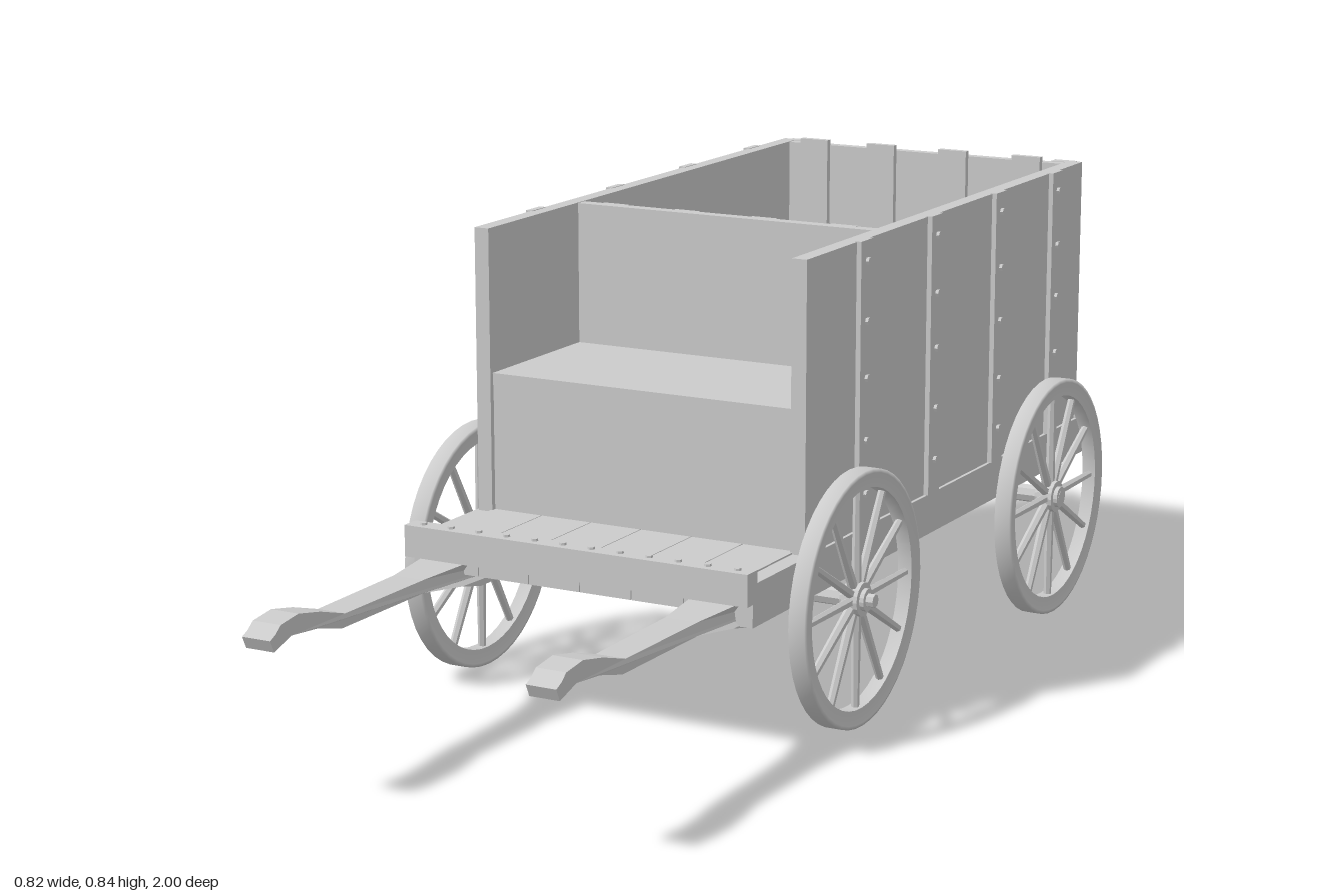
import * as THREE from 'three';

const mat = new THREE.MeshStandardMaterial({ color: 0xcccccc, flatShading: true });
const smooth = new THREE.MeshStandardMaterial({ color: 0xcccccc });

export function createModel() {
  const root = new THREE.Group();
  root.name = 'wagon';

  const add = (name, geo, parent = root, m = mat) => {
    const mesh = new THREE.Mesh(geo, m);
    mesh.name = name;
    parent.add(mesh);
    return mesh;
  };
  // Box given by its extents on each axis
  const box = (name, x0, x1, y0, y1, z0, z1, parent = root) => {
    const mesh = add(name, new THREE.BoxGeometry(Math.abs(x1 - x0), y1 - y0, z1 - z0), parent);
    mesh.position.set((x0 + x1) / 2, (y0 + y1) / 2, (z0 + z1) / 2);
    return mesh;
  };
  // Small six-sided bolt head pointing along an axis
  const bolt = (x, y, z, axis, parent = root) => {
    const mesh = add('bolt', new THREE.CylinderGeometry(0.006, 0.007, 0.01, 6), parent);
    if (axis === 'x') mesh.rotation.z = Math.PI / 2;
    if (axis === 'z') mesh.rotation.x = Math.PI / 2;
    mesh.position.set(x, y, z);
  };

  // Bed: lengthwise floor planks inside a frame
  const planks = 6, pw = 0.6 / planks;
  for (let i = 0; i < planks; i++) {
    const x = -0.3 + i * pw;
    box('floorPlank', x + 0.0008, x + pw - 0.0008, 0.265, 0.325, -0.96, 0.44);
  }
  for (const s of [-1, 1]) box('bedSideBeam', s * 0.295, s * 0.33, 0.248, 0.322, -0.985, 0.44);
  box('bedRearBeam', -0.295, 0.295, 0.25, 0.318, -0.985, -0.955);
  box('rearBar', -0.31, 0.31, 0.268, 0.298, -1.0, -0.985);
  for (let i = 0; i < 5; i++) {
    const x = -0.33 + i * 0.132;
    box('rearLedgeBoard', x + 0.002, x + 0.13, 0.316, 0.328, -0.985, -0.93);
  }
  box('frontLip', -0.333, 0.333, 0.29, 0.346, 0.43, 0.465);
  for (let i = 0; i < 12; i++) {
    const x = -0.305 + i * 0.0555;
    bolt(x, 0.345, 0.447, 'y');
  }

  // Side walls with bolted straps
  for (const s of [-1, 1]) {
    const wall = new THREE.Group();
    wall.name = s > 0 ? 'leftWall' : 'rightWall';
    root.add(wall);
    box('sidePanel', s * 0.296, s * 0.324, 0.32, 0.83, -0.94, 0.24, wall);
    for (const z of [0.03, -0.255, -0.535, -0.8]) {
      box('strap', s * 0.32, s * 0.333, 0.322, 0.831, z - 0.023, z + 0.023, wall);
      for (const y of [0.385, 0.48, 0.59, 0.69, 0.795]) bolt(s * 0.334, y, z, 'x', wall);
    }
    // Rear corner post
    box('cornerPost', s * 0.265, s * 0.31, 0.325, 0.83, -0.947, -0.925, wall);
    for (const y of [0.385, 0.48, 0.59, 0.69, 0.795]) bolt(s * 0.288, y, -0.948, 'z', wall);
  }

  // Tailgate and seat back, each with upright battens
  box('tailgate', -0.296, 0.296, 0.325, 0.829, -0.925, -0.905);
  box('seatBack', -0.296, 0.296, 0.325, 0.829, -0.09, -0.067);
  for (const x of [-0.235, -0.088, 0.068, 0.225]) {
    box('tailgateBatten', x - 0.03, x + 0.03, 0.325, 0.84, -0.906, -0.893);
    box('seatBackBatten', x - 0.025, x + 0.025, 0.325, 0.828, -0.101, -0.089);
  }

  // Driver's bench
  box('benchSeat', -0.296, 0.296, 0.55, 0.572, -0.07, 0.232);
  box('benchFront', -0.296, 0.296, 0.325, 0.55, 0.21, 0.23);

  // Shafts: side profile extruded across, narrowed toward the front
  const top = [[0.1, 0.268], [0.46, 0.288], [0.56, 0.285], [0.79, 0.285], [0.86, 0.306],
    [0.92, 0.318], [0.97, 0.312], [0.985, 0.3], [1.0, 0.293]];
  const under = [[0.99, 0.272], [0.94, 0.287], [0.87, 0.28], [0.8, 0.262], [0.56, 0.262],
    [0.46, 0.25], [0.4, 0.236], [0.1, 0.236]];
  for (const s of [-1, 1]) {
    const shape = new THREE.Shape([...top, ...under].map(([z, y]) => new THREE.Vector2(z, y)));
    const geo = new THREE.ExtrudeGeometry(shape, { depth: 1, bevelEnabled: false });
    geo.translate(0, 0, -0.5);
    geo.rotateY(-Math.PI / 2);
    const p = geo.attributes.position;
    for (let i = 0; i < p.count; i++) {
      const z = p.getZ(i);
      const w = z < 0.47 ? 0.085 : z < 0.7 ? 0.06 : 0.054;
      p.setX(i, s * 0.263 + p.getX(i) * w);
    }
    geo.computeVertexNormals();
    add(s > 0 ? 'leftShaft' : 'rightShaft', geo);
  }

  // Wheel lying on the x axis: rim, spokes, hub
  const wheel = (name, x, z) => {
    const g = new THREE.Group();
    g.name = name;
    const profile = [[0.194, -0.013], [0.218, -0.013], [0.219, -0.017], [0.226, -0.015], [0.226, 0.015],
      [0.219, 0.017], [0.218, 0.013], [0.194, 0.013], [0.194, -0.013]]
      .map(([r, y]) => new THREE.Vector2(r, y));
    add('rim', new THREE.LatheGeometry(profile, 48), g, smooth).rotation.z = Math.PI / 2;
    for (let i = 0; i < 12; i++) {
      const a = (i / 12) * Math.PI * 2;
      const spoke = add('spoke', new THREE.CylinderGeometry(0.007, 0.009, 0.18, 6), g);
      spoke.position.set(0, Math.cos(a) * 0.11, Math.sin(a) * 0.11);
      spoke.rotation.x = a;
    }
    for (const [r, len] of [[0.03, 0.03], [0.02, 0.046]]) {
      add('hub', new THREE.CylinderGeometry(r, r, len, 16), g).rotation.z = Math.PI / 2;
    }
    g.position.set(x, 0.228, z);
    root.add(g);
  };
  wheel('frontLeftWheel', 0.37, 0.135);
  wheel('frontRightWheel', -0.388, 0.135);
  wheel('rearLeftWheel', 0.383, -0.677);
  wheel('rearRightWheel', -0.378, -0.677);

  // Axles
  for (const z of [0.135, -0.677]) {
    const axle = add('axle', new THREE.CylinderGeometry(0.017, 0.017, 0.75, 8), root);
    axle.rotation.z = Math.PI / 2;
    axle.position.set(0, 0.228, z);
    const pin = add('axlePin', new THREE.CylinderGeometry(0.012, 0.012, 0.815, 8), root);
    pin.rotation.z = Math.PI / 2;
    pin.position.set(-0.001, 0.228, z);
  }
  return root;
}
